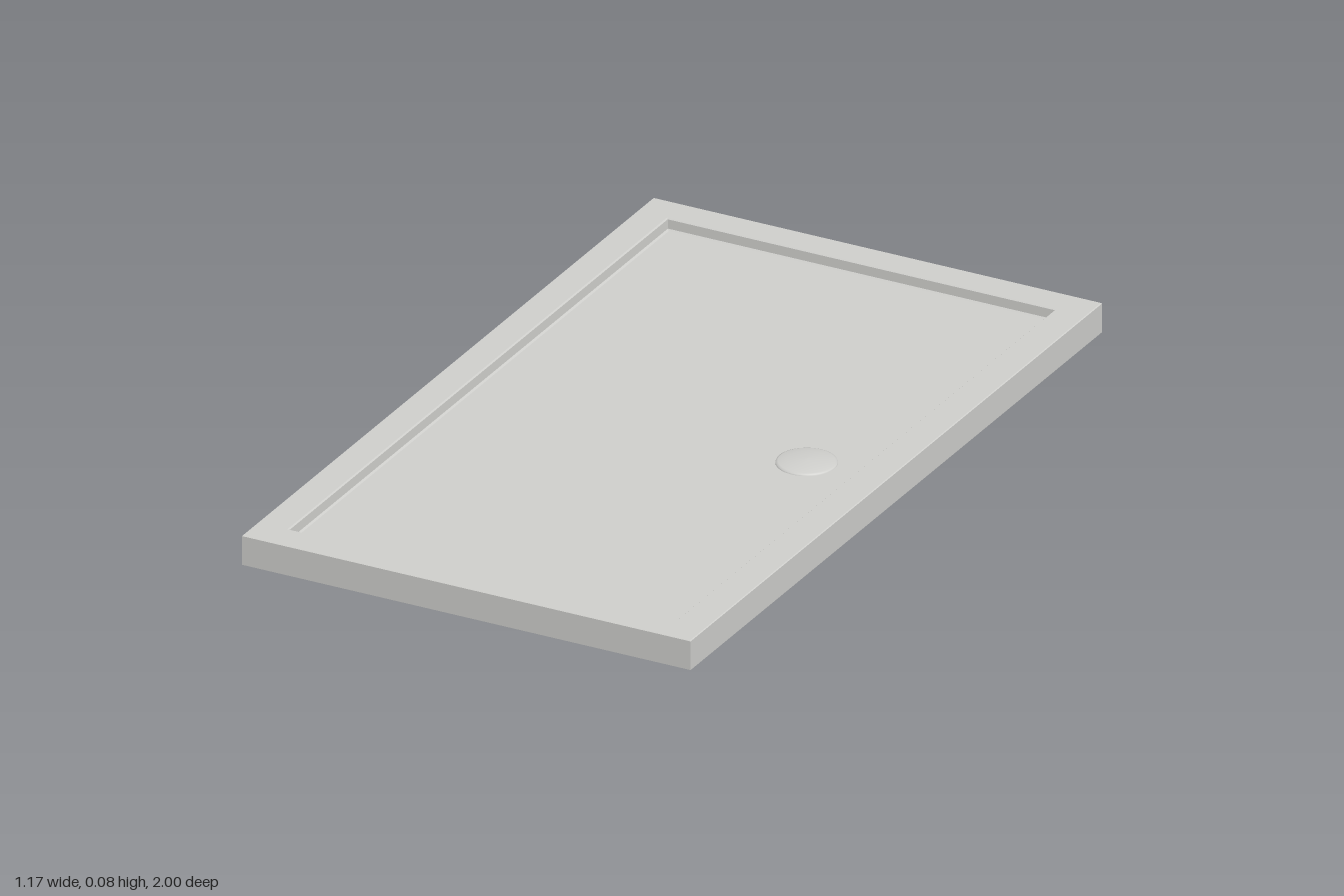
import * as THREE from 'three';

const HX = 0.583, HZ = 1; // half width and half length of the tray
const FLOOR = 0.045, DRAIN_X = 0.35;

// Sheet swept through rectangular rings given as [inset, height]
function rectSheet(rings) {
  const corners = ([i, y]) => [
    [-HX + i, y, HZ - i], [HX - i, y, HZ - i], [HX - i, y, -HZ + i], [-HX + i, y, -HZ + i],
  ];
  const pos = [];
  for (let r = 0; r < rings.length - 1; r++) {
    const a = corners(rings[r]), b = corners(rings[r + 1]);
    for (let k = 0; k < 4; k++) {
      const n = (k + 1) % 4;
      pos.push(...a[k], ...a[n], ...b[n], ...a[k], ...b[n], ...b[k]);
    }
  }
  const g = new THREE.BufferGeometry();
  g.setAttribute('position', new THREE.Float32BufferAttribute(pos, 3));
  g.computeVertexNormals();
  return g;
}

export function createModel() {
  const model = new THREE.Group();
  model.name = 'showerTray';
  const acrylic = new THREE.MeshStandardMaterial({ color: 0xd0d0cd, side: THREE.DoubleSide });
  acrylic.name = 'pale grey acrylic';

  const add = (name, geometry, x = 0, y = 0) => {
    const mesh = new THREE.Mesh(geometry, acrylic);
    mesh.name = name;
    mesh.position.set(x, y, 0);
    model.add(mesh);
  };
  const lathe = (pts) => new THREE.LatheGeometry(pts.map(([r, y]) => new THREE.Vector2(r, y)), 48);

  // Outer skirt, flat rim and basin wall, open underneath
  add('skirt', rectSheet([[0, 0], [0, 0.073], [0.002, 0.075]]));
  add('rim', rectSheet([[0.002, 0.075], [0.077, 0.075]]));
  add('basinWall', rectSheet([[0.077, 0.075], [0.08, 0.072], [0.081, 0.049], [0.085, FLOOR]]));

  // Basin floor with the drain opening
  const w = HX - 0.085, l = HZ - 0.085;
  const shape = new THREE.Shape([
    new THREE.Vector2(-w, -l), new THREE.Vector2(w, -l), new THREE.Vector2(w, l), new THREE.Vector2(-w, l),
  ]);
  const hole = new THREE.Path();
  hole.absarc(DRAIN_X, 0, 0.068, 0, Math.PI * 2, true);
  shape.holes.push(hole);
  add('basinFloor', new THREE.ShapeGeometry(shape, 24).rotateX(-Math.PI / 2), 0, FLOOR);

  // Gently domed drain cover
  add('drainCover', lathe([[0.072, 0], [0.071, 0.003], [0.066, 0.005], [0.045, 0.008], [0.02, 0.01], [0, 0.0105]]), DRAIN_X, FLOOR);

  // Drain collar and flange below the floor
  add('drainCollar', lathe([[0.068, 0], [0.068, -0.012]]), DRAIN_X, FLOOR);
  add('drainFlange', lathe([[0.068, -0.012], [0.09, -0.012], [0.09, -0.007], [0.068, -0.007]]), DRAIN_X, FLOOR);

  return model;
}
